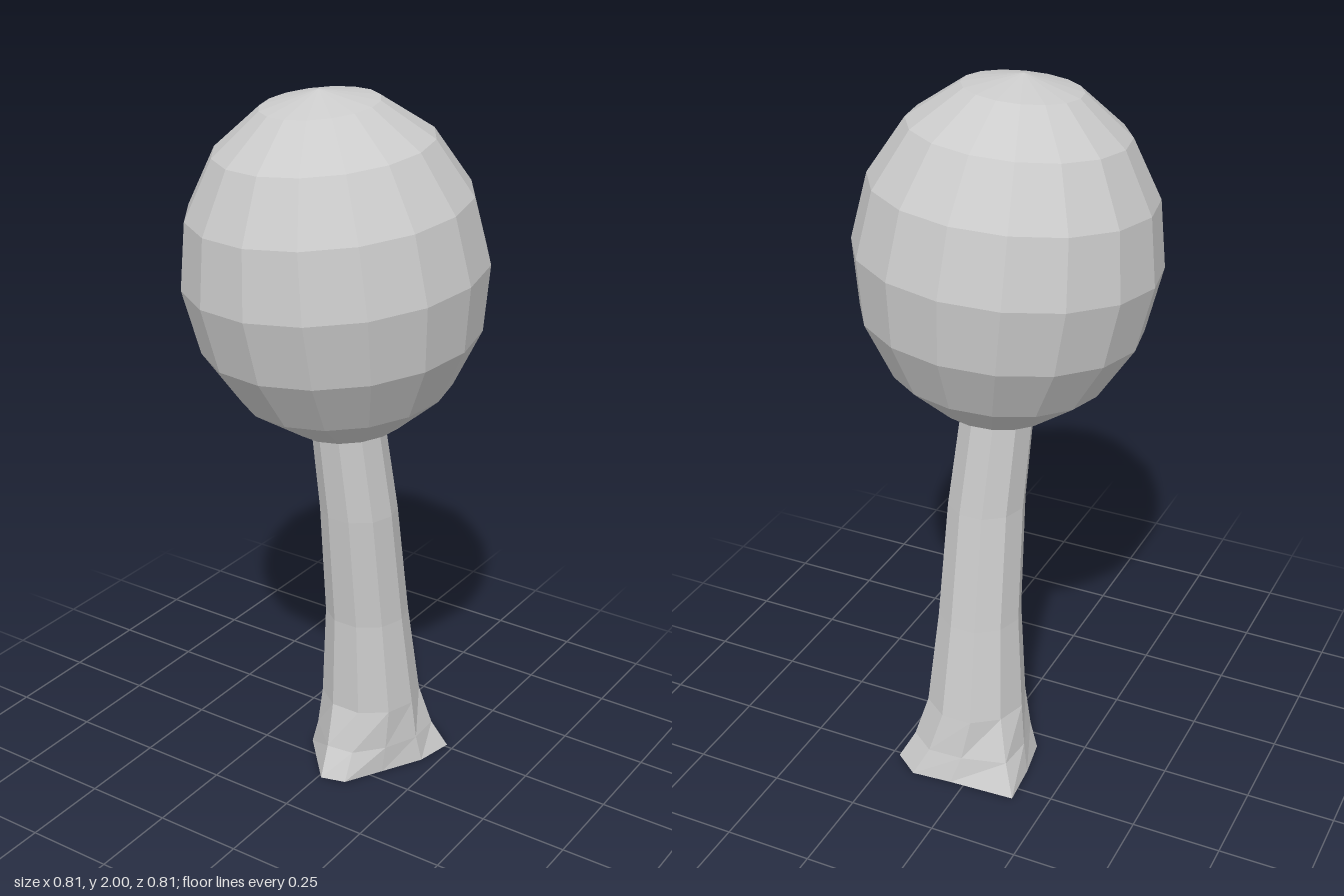
import * as THREE from 'three';

const material = new THREE.MeshStandardMaterial({ color: 0xcccccc, flatShading: true });

// Faceted egg-shaped crown, tilted slightly, with its underside dented in around the trunk
function createCrown() {
  const geometry = new THREE.SphereGeometry(1, 16, 8);
  const pos = geometry.attributes.position;
  for (let i = 0; i < pos.count; i++) {
    if (pos.getY(i) < -0.95) pos.setY(i, -0.88);
  }
  geometry.scale(0.405, 0.47, 0.405);
  geometry.rotateZ(THREE.MathUtils.degToRad(3.3));
  geometry.rotateX(THREE.MathUtils.degToRad(4.3));
  geometry.translate(0, 1.531, 0);
  geometry.computeVertexNormals();
  const mesh = new THREE.Mesh(geometry, material);
  mesh.name = 'crown';
  return mesh;
}

// Leaning trunk: an irregular root outline lofted into ten-sided rings
function createTrunk() {
  const foot = [
    [0.08, 0.07], [0.01, 0.09], [-0.12, -0.055], [-0.14, -0.17], [-0.15, -0.295],
    [0.04, -0.305], [0.155, -0.315], [0.228, -0.26], [0.205, -0.15], [0.14, -0.035],
  ];
  const sides = foot.length;
  // y, centre x, centre z, radius
  const sections = [
    [0.2, 0.037, -0.132, 0.142],
    [0.48, 0.035, -0.11, 0.118],
    [0.82, 0.031, -0.07, 0.108],
    [1.12, 0.008, -0.04, 0.1],
    [1.25, 0, -0.025, 0.095],
  ];
  const ring = ([, cx, cz, r]) => foot.map((_, i) => {
    const a = THREE.MathUtils.degToRad(72 + (i * 360) / sides);
    return [cx + r * Math.cos(a), cz + r * Math.sin(a)];
  });
  const first = ring(sections[0]);
  // Root flare: a ring partway between the foot and the first round section
  const flare = foot.map(([x, z], i) => [
    THREE.MathUtils.lerp(x, first[i][0], 0.55),
    THREE.MathUtils.lerp(z, first[i][1], 0.55),
  ]);
  const rings = [[0, foot], [0.08, flare], ...sections.map((s) => [s[0], ring(s)])];

  const vertices = [];
  const index = [];
  for (const [y, points] of rings) {
    for (const [x, z] of points) vertices.push(x, y, z);
  }
  for (let j = 0; j < rings.length - 1; j++) {
    for (let i = 0; i < sides; i++) {
      const a = j * sides + i;
      const b = j * sides + ((i + 1) % sides);
      index.push(a, a + sides, b, b, a + sides, b + sides);
    }
  }
  // Flat underside
  const centre = vertices.length / 3;
  vertices.push(0.04, 0, -0.13);
  for (let i = 0; i < sides; i++) index.push(centre, i, (i + 1) % sides);

  const geometry = new THREE.BufferGeometry();
  geometry.setAttribute('position', new THREE.Float32BufferAttribute(vertices, 3));
  geometry.setIndex(index);
  geometry.computeVertexNormals();
  const mesh = new THREE.Mesh(geometry, material);
  mesh.name = 'trunk';
  return mesh;
}

export function createModel() {
  const group = new THREE.Group();
  group.name = 'tree';
  group.add(createTrunk(), createCrown());
  return group;
}
